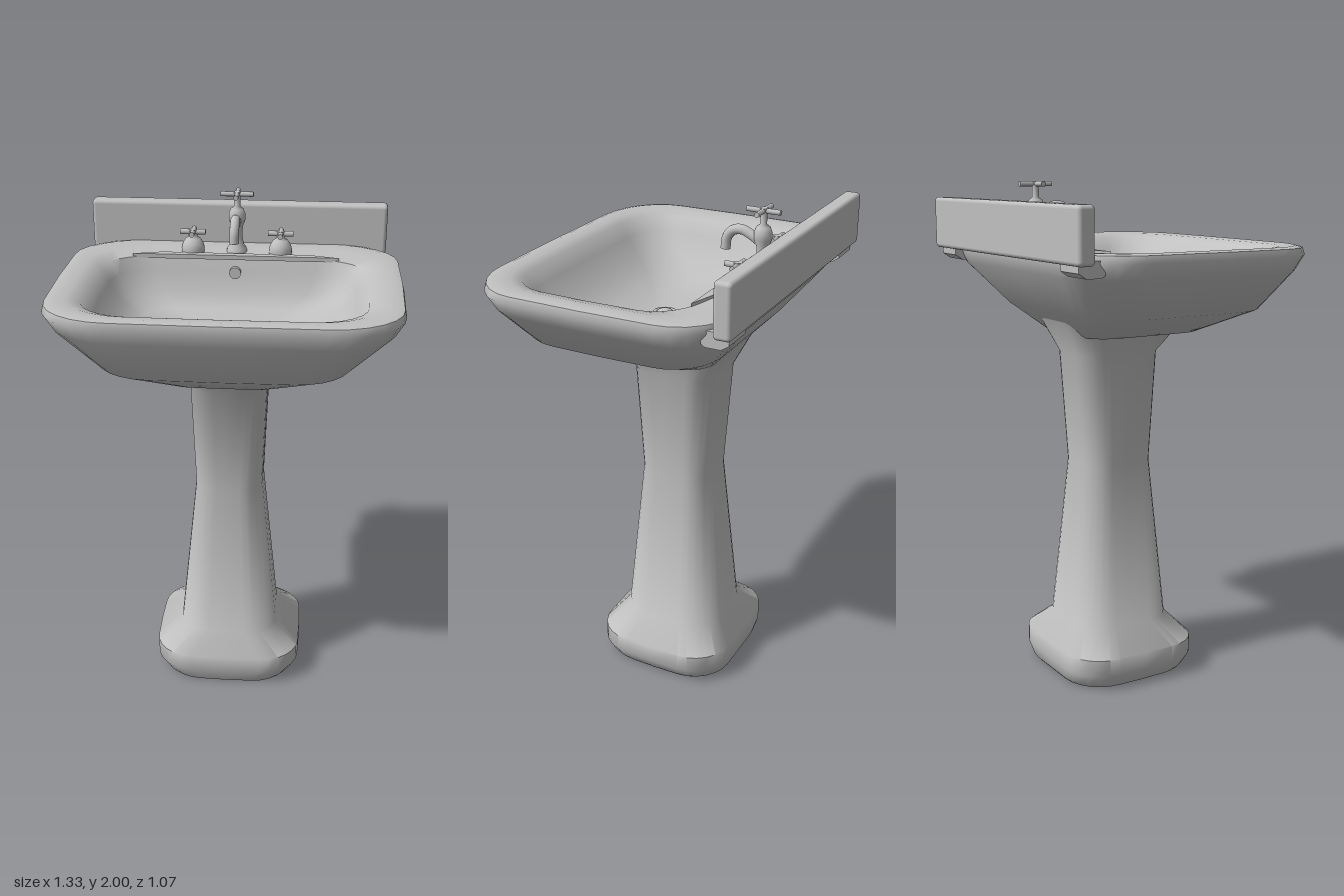
import * as THREE from 'three';
import { toCreasedNormals, mergeGeometries } from 'three/addons/utils/BufferGeometryUtils.js';
import { RoundedBoxGeometry } from 'three/addons/geometries/RoundedBoxGeometry.js';

const ceramic = new THREE.MeshStandardMaterial({ color: 0xc0c0c0, side: THREE.DoubleSide });
ceramic.name = 'ceramic grey';

function part(name, geometry, x = 0, y = 0, z = 0) {
  const mesh = new THREE.Mesh(geometry, ceramic);
  mesh.name = name;
  mesh.position.set(x, y, z);
  return mesh;
}

// Rounded rectangle ring: height, half width, front z, back z, corner radii, height at the back
function ring([y, hx, zf, zb, rx, rz, yb = y]) {
  const pts = [], zc = (zf + zb) / 2, hz = (zf - zb) / 2, steps = 6;
  for (let q = 0; q < 4; q++) {
    const sx = q === 0 || q === 3 ? 1 : -1, sz = q < 2 ? 1 : -1;
    for (let i = 0; i <= steps; i++) {
      const a = (q + i / steps) * Math.PI / 2;
      const x = sx * (hx - rx) + rx * Math.cos(a);
      const z = zc + sz * (hz - rz) + rz * Math.sin(a);
      pts.push([x, y + (yb - y) * (zf - z) / (zf - zb), z]);
    }
    // slightly bowed middle of each side
    const mid = [[0, hz * 1.008], [-hx * 1.008, 0], [0, -hz], [hx * 1.008, 0]][q];
    const z = zc + mid[1];
    pts.push([mid[0], y + (yb - y) * (zf - z) / (zf - zb), z]);
  }
  return pts;
}

// Skin a stack of rings, with optional flat end caps
function loft(sections, crease, capStart = true, capEnd = true) {
  const rings = sections.map(ring), n = rings[0].length;
  const pos = rings.flat(2), idx = [];
  for (let r = 0; r < rings.length - 1; r++) {
    for (let i = 0; i < n; i++) {
      const j = (i + 1) % n, a = r * n + i, b = r * n + j;
      idx.push(a, a + n, b, b, a + n, b + n);
    }
  }
  const cap = (r, flip) => {
    const [y, , zf, zb, , , yb = y] = sections[r], c = pos.length / 3;
    pos.push(0, (y + yb) / 2, (zf + zb) / 2);
    for (let i = 0; i < n; i++) {
      const a = r * n + i, b = r * n + (i + 1) % n;
      idx.push(c, flip ? b : a, flip ? a : b);
    }
  };
  if (capStart) cap(0, false);
  if (capEnd) cap(rings.length - 1, true);
  const g = new THREE.BufferGeometry();
  g.setAttribute('position', new THREE.Float32BufferAttribute(pos, 3));
  g.setIndex(idx);
  return toCreasedNormals(g, crease);
}

function lathe(points, segments = 20) {
  return new THREE.LatheGeometry(points.map(p => new THREE.Vector2(...p)), segments);
}

// Two crossed bars with a hub
function crossHandle(reach, radius) {
  const barX = new THREE.CylinderGeometry(radius, radius, reach * 2, 10).rotateZ(Math.PI / 2);
  const barZ = new THREE.CylinderGeometry(radius, radius, reach * 2, 10).rotateX(Math.PI / 2);
  const hub = new THREE.CylinderGeometry(radius * 1.5, radius * 1.5, radius * 2, 12);
  return mergeGeometries([barX, barZ, hub]);
}

export function createModel() {
  const model = new THREE.Group();
  model.name = 'pedestalSink';

  // Pedestal, waisted with a flared foot and top
  model.add(part('pedestal', loft([
    [0, 0.27, 0.205, -0.325, 0.16, 0.16],
    [0.012, 0.28, 0.21, -0.335, 0.16, 0.16],
    [0.06, 0.307, 0.225, -0.345, 0.16, 0.16],
    [0.13, 0.307, 0.225, -0.345, 0.16, 0.16],
    [0.215, 0.205, 0.15, -0.27, 0.13, 0.13],
    [0.88, 0.138, 0.093, -0.207, 0.09, 0.09],
    [1.33, 0.155, 0.12, -0.237, 0.1, 0.1],
    [1.42, 0.21, 0.19, -0.31, 0.12, 0.12, 1.48],
  ], 0.9, true, false)));

  // Basin: outside from the bottom up, over the rim and down into the bowl
  model.add(part('basin', loft([
    [1.41, 0.23, 0.26, -0.25, 0.1, 0.1],
    [1.51, 0.468, 0.435, -0.345, 0.2, 0.18],
    [1.67, 0.63, 0.503, -0.475, 0.26, 0.21],
    [1.73, 0.662, 0.528, -0.495, 0.27, 0.22],
    [1.757, 0.655, 0.522, -0.49, 0.27, 0.22],
    [1.763, 0.63, 0.5, -0.47, 0.26, 0.21],
    [1.758, 0.58, 0.455, -0.4, 0.24, 0.2],
    [1.745, 0.53, 0.42, -0.305, 0.2, 0.17],
    [1.69, 0.49, 0.38, -0.287, 0.17, 0.15],
    [1.61, 0.445, 0.31, -0.265, 0.15, 0.13],
    [1.555, 0.36, 0.22, -0.22, 0.13, 0.12],
    [1.527, 0.18, 0.12, -0.1, 0.09, 0.09],
    [1.52, 0.045, 0.075, -0.015, 0.04, 0.04],
  ], 0.9)));

  // Straight lip along the edge of the tap deck
  const lip = new THREE.Shape([[-0.42, 0.293], [0.42, 0.293], [0.3, 0.326], [-0.3, 0.326]]
    .map(p => new THREE.Vector2(...p)));
  model.add(part('deckLip', new THREE.ExtrudeGeometry(lip, { depth: 0.018, bevelEnabled: false })
    .rotateX(-Math.PI / 2), 0, 1.74, 0));

  // Overflow and drain
  model.add(part('overflow', new THREE.CylinderGeometry(0.024, 0.024, 0.02, 16)
    .rotateX(Math.PI / 2), 0, 1.69, -0.282));
  model.add(part('drainRing', new THREE.TorusGeometry(0.04, 0.009, 8, 28)
    .rotateX(Math.PI / 2), 0, 1.525, 0.032));
  model.add(part('drainPlug', new THREE.SphereGeometry(0.033, 20, 10)
    .scale(1, 0.5, 1), 0, 1.526, 0.032));

  // Backsplash and its two supports
  model.add(part('backsplash', new RoundedBoxGeometry(1.23, 0.206, 0.068, 3, 0.016), 0, 1.827, -0.5));
  const bracket = new THREE.Shape([[0.41, 1.69], [0.425, 1.68], [0.485, 1.68], [0.515, 1.7], [0.515, 1.74], [0.41, 1.74]]
    .map(p => new THREE.Vector2(...p)));
  for (const side of [-1, 1]) {
    model.add(part(side > 0 ? 'leftBracket' : 'rightBracket',
      new THREE.ExtrudeGeometry(bracket, { depth: 0.13, bevelEnabled: false })
        .translate(0, 0, -0.065).rotateY(Math.PI / 2), side * 0.515, 0, 0));
  }

  // Central tap with a curved spout
  const faucet = new THREE.Group();
  faucet.name = 'faucet';
  faucet.position.set(0, 0, -0.375);
  faucet.add(part('faucetBody', lathe([
    [0.042, 1.75], [0.04, 1.768], [0.028, 1.785], [0.022, 1.82], [0.024, 1.86],
    [0.034, 1.885], [0.034, 1.91], [0.026, 1.93], [0.013, 1.94], [0.013, 1.985],
  ])));
  const spoutPath = new THREE.CatmullRomCurve3([
    [1.865, 0], [1.89, 0.04], [1.908, 0.085], [1.9, 0.122], [1.87, 0.145], [1.828, 0.15],
  ].map(([y, z]) => new THREE.Vector3(0, y, z)));
  faucet.add(part('spout', new THREE.TubeGeometry(spoutPath, 24, 0.019, 14)));
  faucet.add(part('spoutEnd', new THREE.CircleGeometry(0.019, 14).rotateX(Math.PI / 2), 0, 1.829, 0.15));
  faucet.add(part('faucetHandle', crossHandle(0.067, 0.01), 0, 1.99, 0));
  model.add(faucet);

  // Hot and cold valves
  for (const side of [-1, 1]) {
    const valve = new THREE.Group();
    valve.name = side > 0 ? 'leftValve' : 'rightValve';
    valve.position.set(side * 0.18, 0, -0.36);
    valve.add(part('valveBody', lathe([
      [0.046, 1.75], [0.048, 1.77], [0.042, 1.79], [0.03, 1.808], [0.018, 1.815], [0.018, 1.83],
    ])));
    valve.add(part('valveHandle', crossHandle(0.052, 0.011), 0, 1.835, 0));
    model.add(valve);
  }
  return model;
}
